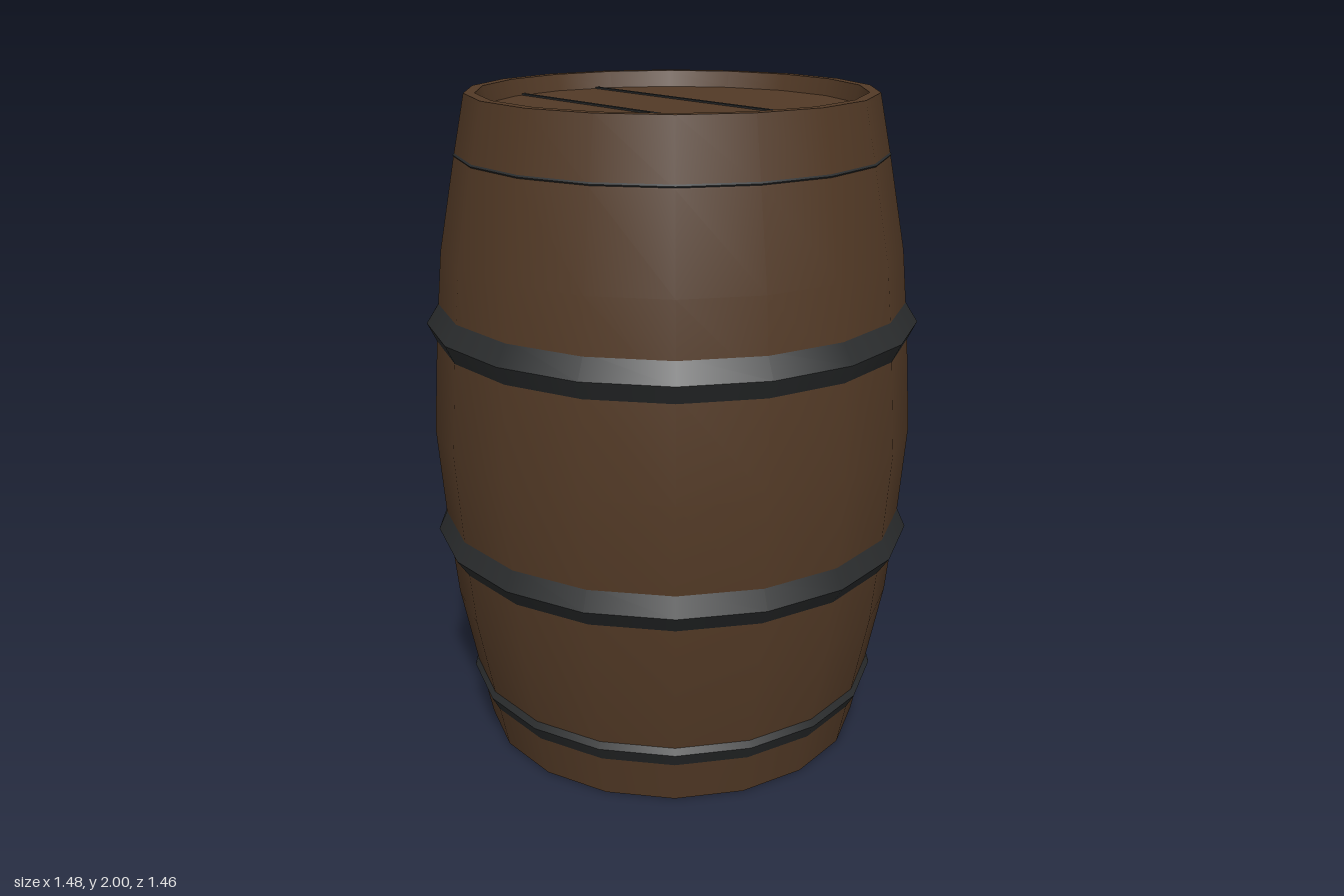
import * as THREE from 'three';

const SIDES = 18;

export function createModel() {
  const wood = new THREE.MeshStandardMaterial({ color: 0x533a26 });
  wood.name = 'brown wood';
  const iron = new THREE.MeshStandardMaterial({ color: 0x2a2c2d });
  iron.name = 'dark iron';

  const barrel = new THREE.Group();
  barrel.name = 'barrel';

  const add = (name, geometry, material, parent = barrel) => {
    const mesh = new THREE.Mesh(geometry, material);
    mesh.name = name;
    parent.add(mesh);
    return mesh;
  };

  // Profiles run upwards on outer faces; a quarter turn puts a corner on the x axis
  const lathe = (points) => new THREE.LatheGeometry(
    points.map(([r, y]) => new THREE.Vector2(r, y)), SIDES).rotateY(Math.PI / 2);

  // Bulging staves
  add('staves', lathe([
    [0.6, 0], [0.64, 0.2], [0.688, 0.45], [0.712, 0.7], [0.733, 1],
    [0.712, 1.3], [0.688, 1.55], [0.637, 1.82], [0.6, 2],
  ]), wood);
  add('bottom', lathe([[0, 0], [0.6, 0]]), wood);

  // Flat rim, inner wall and sunken lid
  add('rim', lathe([[0.6, 2], [0.568, 2]]), wood);
  add('innerWall', lathe([[0.568, 2], [0.555, 1.95]]), wood);
  add('lid', lathe([[0.555, 1.95], [0, 1.95]]), wood);

  // Dark seams between the lid planks
  for (const z of [-0.137, 0.155]) {
    add('lidSeam', new THREE.BoxGeometry(1.06, 0.008, 0.015), iron)
      .position.set(0, 1.951, z);
  }

  // Ridged hoops, each made of a lower and an upper sloping band
  const hoops = [
    ['bottomHoop', [0.617, 0.115], [0.651, 0.18], [0.634, 0.21]],
    ['lowerHoop', [0.697, 0.605], [0.74, 0.67], [0.709, 0.738]],
    ['upperHoop', [0.709, 1.27], [0.74, 1.335], [0.697, 1.402]],
    ['topHoop', [0.635, 1.822], [0.639, 1.828], [0.633, 1.834]],
  ];
  for (const [name, low, ridge, high] of hoops) {
    const hoop = new THREE.Group();
    hoop.name = name;
    add('lowerBand', lathe([low, ridge]), iron, hoop);
    add('upperBand', lathe([ridge, high]), iron, hoop);
    barrel.add(hoop);
  }

  return barrel;
}
